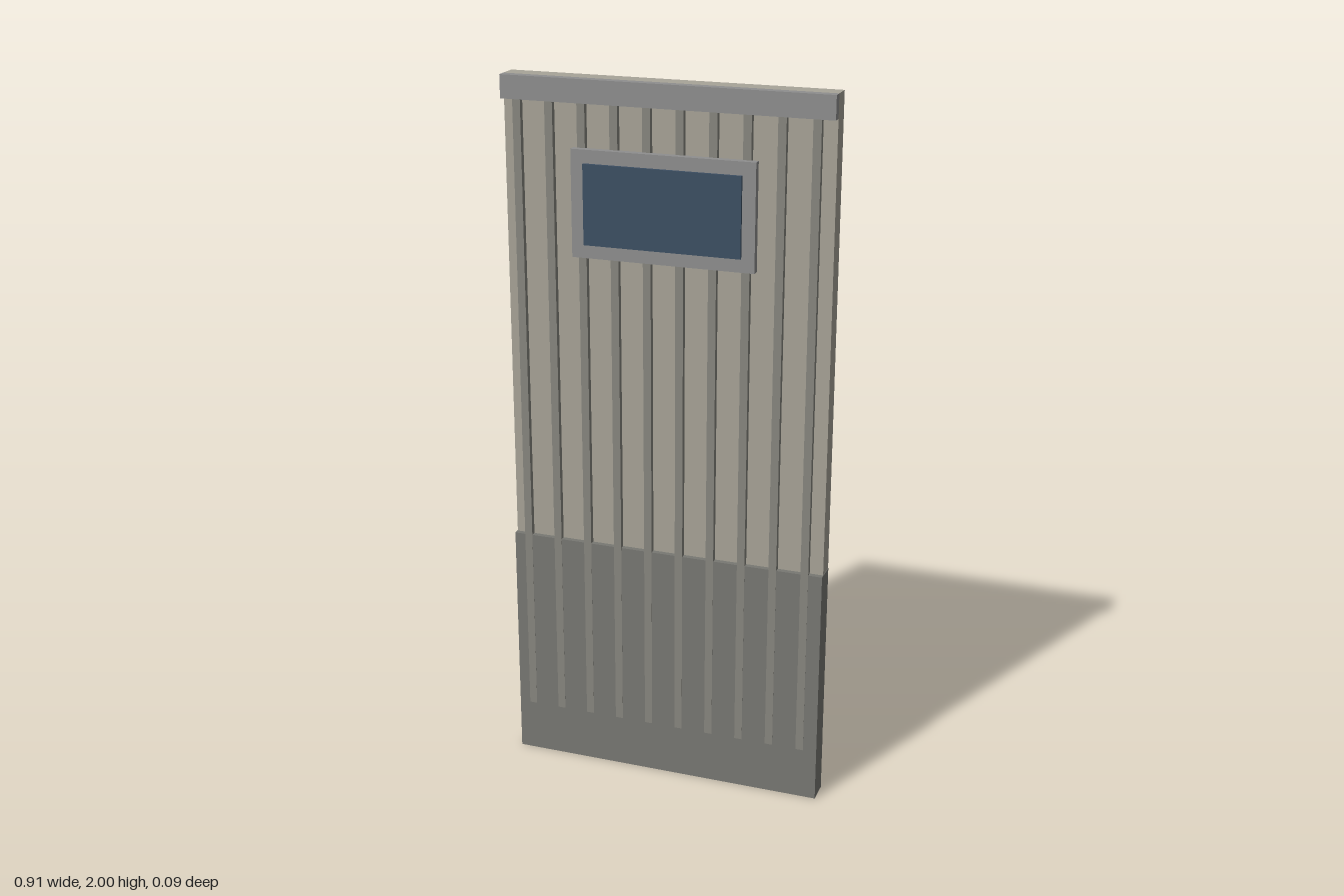
import * as THREE from 'three';

const material = (color) => new THREE.MeshStandardMaterial({ color });

export function createModel() {
  const model = new THREE.Group();
  const tan = material(0xa8a498);
  const trim = material(0x8f8f8f);
  const ribGrey = material(0x88877f);
  const dark = material(0x787873);
  const glass = material(0x3d5064);

  // Box given by its limits on each axis, centred on x unless shifted
  function slab(name, mat, width, y0, y1, z0, z1, x = 0) {
    const mesh = new THREE.Mesh(new THREE.BoxGeometry(width, y1 - y0, z1 - z0), mat);
    mesh.position.set(x, (y0 + y1) / 2, (z0 + z1) / 2);
    mesh.name = name;
    model.add(mesh);
    return mesh;
  }

  // Main wall panel and the heavier base below it
  slab('wallPanel', tan, 0.906, 0.15, 2, -0.047, 0.005);
  slab('baseFoot', dark, 0.908, 0, 0.15, -0.047, 0.02);
  slab('lowerPlate', dark, 0.908, 0.15, 0.693, -0.046, 0.02);

  // Ten evenly spaced vertical ribs, level with the lower plate
  const ribs = new THREE.Group();
  ribs.name = 'ribs';
  for (let i = 0; i < 10; i++) {
    ribs.add(slab('rib', ribGrey, 0.022, 0.15, 1.94, 0, 0.0205, -0.412 + i * 0.0907));
  }
  model.add(ribs);

  // Cap rail along the top edge
  slab('capRail', trim, 0.906, 1.937, 2, 0.005, 0.03);

  // Window: frame with a raised pane
  slab('windowFrame', trim, 0.506, 1.53, 1.82, 0.018, 0.039);
  slab('windowPane', glass, 0.434, 1.567, 1.784, 0.03, 0.047);

  return model;
}
